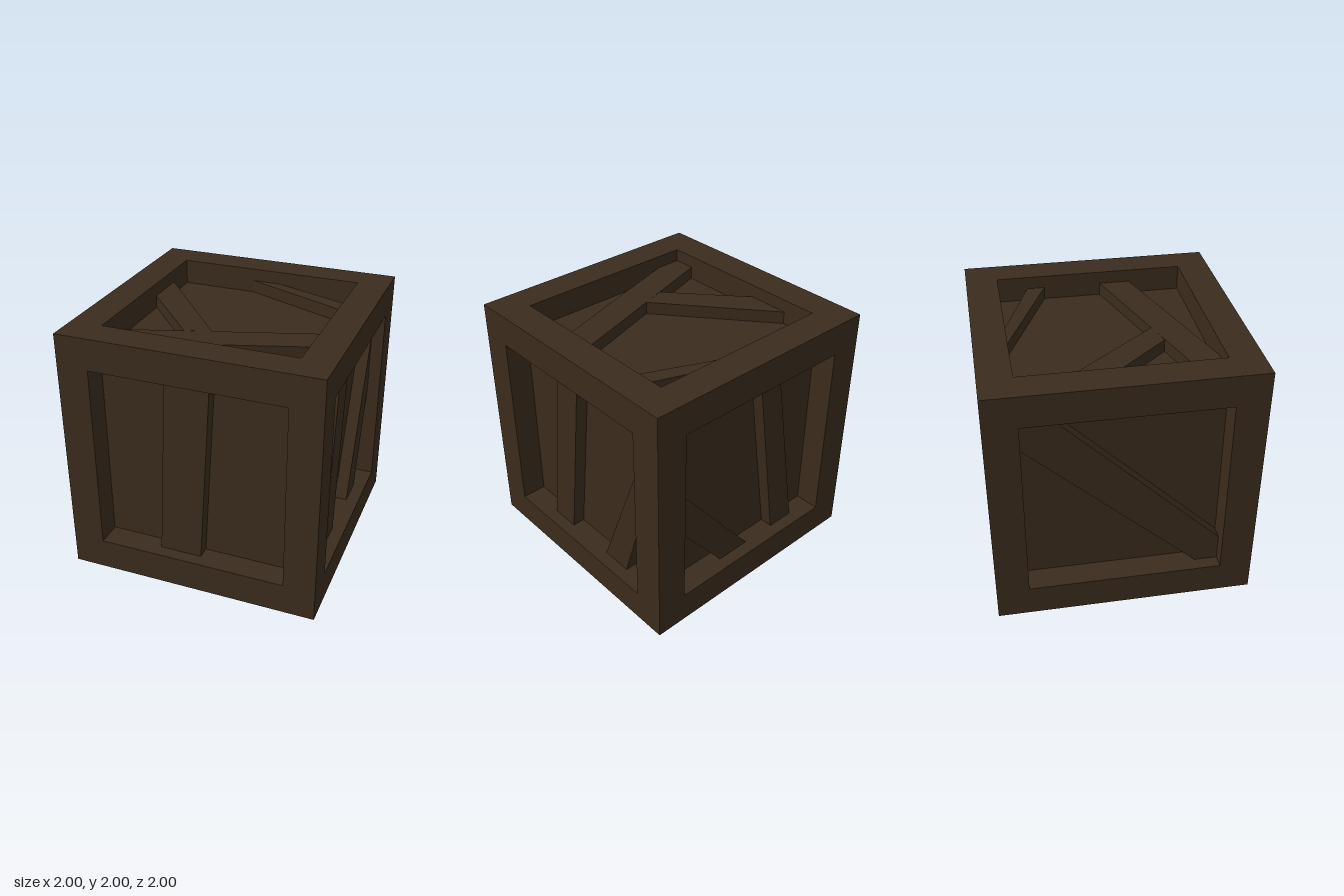
import * as THREE from 'three';

const BEAM = 0.25;   // square section of the frame timbers
const OPEN = 0.75;   // half width of each recessed opening
const PANEL = 0.8;   // distance of the panels from the centre
const PLANK = 0.9;   // distance of the plank faces from the centre

const wood = new THREE.MeshStandardMaterial({ color: 0x3b2c1d, flatShading: true });

function box(name, w, h, d, x, y, z) {
  const mesh = new THREE.Mesh(new THREE.BoxGeometry(w, h, d), wood);
  mesh.name = name;
  mesh.position.set(x, y, z);
  return mesh;
}

// A board cut to the opening, drawn in face coordinates (right, up)
function plank(outline) {
  const shape = new THREE.Shape(outline.map(([u, v]) => new THREE.Vector2(u, v)));
  const sunk = 0.02;
  const geometry = new THREE.ExtrudeGeometry(shape, { depth: PLANK - PANEL + sunk, bevelEnabled: false });
  geometry.translate(0, 0, PANEL - sunk);
  const mesh = new THREE.Mesh(geometry, wood);
  mesh.name = 'plank';
  return mesh;
}

// Each face: its turn from the front, and the outlines of its planks
const faces = [
  { name: 'frontPlanks', turn: [0, 0], planks: [
    [[-0.285, -OPEN], [0.05, -OPEN], [0.145, OPEN], [-0.2, OPEN]],
  ] },
  { name: 'leftPlanks', turn: [0, Math.PI / 2], planks: [
    [[-0.42, -OPEN], [-0.18, -OPEN], [0.01, OPEN], [-0.22, OPEN]],
    [[0.25, -OPEN], [0.5, -OPEN], [OPEN, 0.07], [OPEN, 0.56]],
  ] },
  { name: 'backPlanks', turn: [0, Math.PI], planks: [
    [[0.3, -OPEN], [0.53, -OPEN], [0.26, OPEN], [0.065, OPEN]],
    [[-0.28, -OPEN], [0.01, -OPEN], [-OPEN, 0.21], [-OPEN, -0.16]],
  ] },
  { name: 'rightPlanks', turn: [0, -Math.PI / 2], planks: [
    [[-OPEN, 0.49], [0.57, -OPEN], [OPEN, -OPEN], [OPEN, -0.535], [-0.54, OPEN], [-OPEN, OPEN]],
  ] },
  { name: 'topPlanks', turn: [-Math.PI / 2, 0], planks: [
    [[-OPEN, -0.57], [-OPEN, -OPEN], [-0.54, -OPEN], [OPEN, -0.335], [OPEN, -0.09]],
    [[-OPEN, 0.14], [-0.26, -0.41], [-0.06, -0.35], [-OPEN, 0.48]],
    [[-0.14, OPEN], [OPEN, 0.37], [OPEN, 0.51], [0.1, OPEN]],
  ] },
];

export function createModel() {
  const model = new THREE.Group();
  model.name = 'crate';
  const body = new THREE.Group();
  body.name = 'crateBody';
  body.position.y = 1;
  model.add(body);

  // Recessed panels on all six sides
  body.add(box('panels', 2 * PANEL, 2 * PANEL, 2 * PANEL, 0, 0, 0));

  // Twelve frame timbers: four posts with rails fitted between them
  const frame = new THREE.Group();
  frame.name = 'frame';
  const c = 1 - BEAM / 2;
  for (const a of [-c, c]) {
    for (const b of [-c, c]) {
      frame.add(box('post', BEAM, 2, BEAM, a, 0, b));
      frame.add(box('crossRail', 2 * OPEN, BEAM, BEAM, 0, a, b));
      frame.add(box('sideRail', BEAM, BEAM, 2 * OPEN, a, b, 0));
    }
  }
  body.add(frame);

  // Loose boards nailed over the panels
  for (const { name, turn, planks } of faces) {
    const group = new THREE.Group();
    group.name = name;
    group.rotation.set(turn[0], turn[1], 0);
    planks.forEach((outline) => group.add(plank(outline)));
    body.add(group);
  }
  return model;
}
